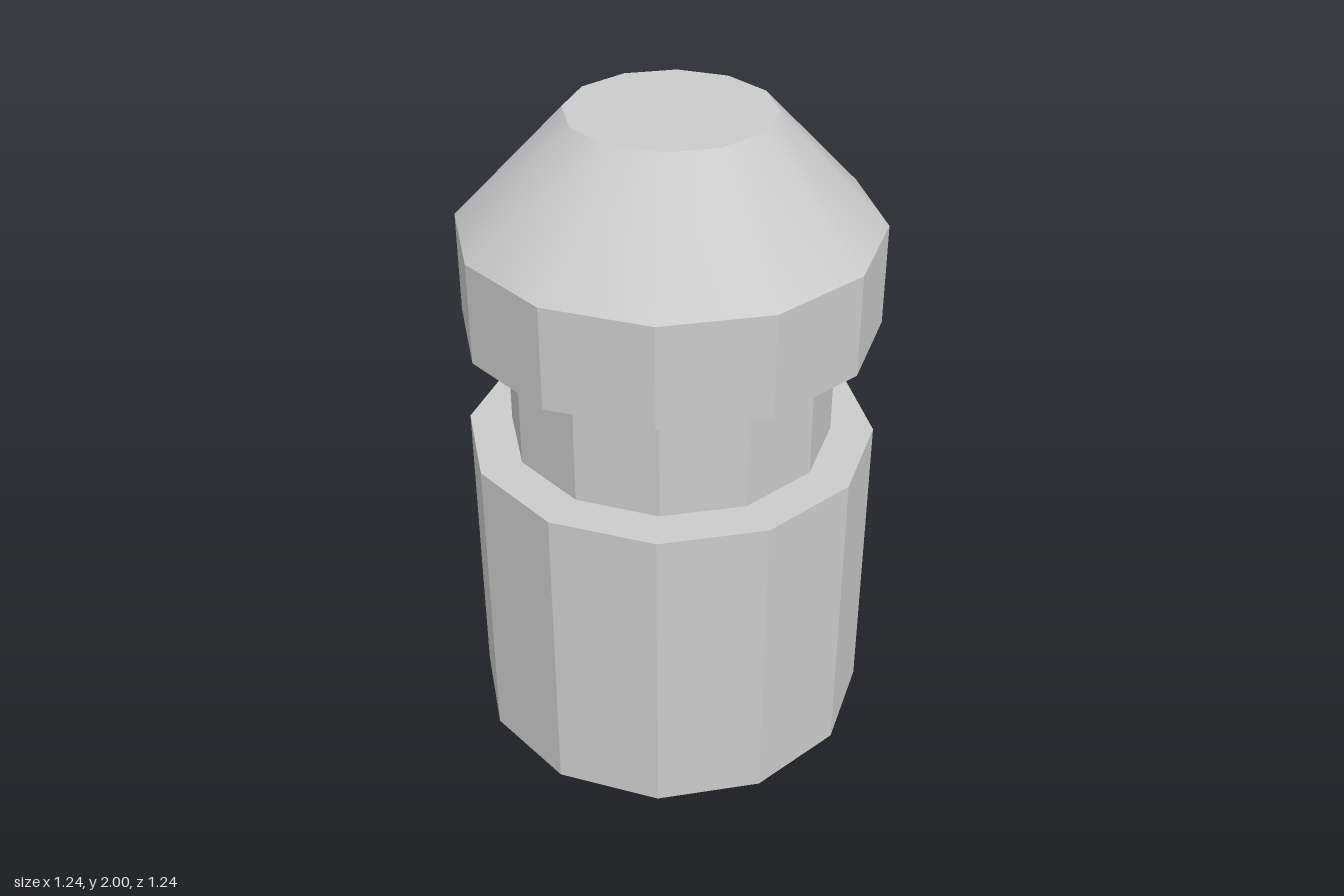
import * as THREE from 'three';

const SIDES = 12;

// Twelve-sided section standing between two heights, with a corner on each axis
function addSection(group, name, bottomRadius, topRadius, y0, y1, { smooth = false, open = false } = {}) {
  const geometry = new THREE.CylinderGeometry(topRadius, bottomRadius, y1 - y0, SIDES, 1, open);
  geometry.translate(0, (y0 + y1) / 2, 0);
  const material = new THREE.MeshStandardMaterial({ color: 0xcccccc, flatShading: !smooth });
  const mesh = new THREE.Mesh(geometry, material);
  mesh.name = name;
  group.add(mesh);
}

export function createModel() {
  const group = new THREE.Group();
  group.name = 'groovedPin';

  // Faceted shaft, recessed neck and collar
  addSection(group, 'shaft', 0.62, 0.62, 0, 0.98);
  addSection(group, 'neck', 0.49, 0.49, 0.98, 1.355, { open: true });
  addSection(group, 'collar', 0.62, 0.62, 1.355, 1.665);

  // Smooth-shaded tapered head with a flat top
  addSection(group, 'taperedHead', 0.62, 0.30, 1.665, 2, { smooth: true });

  return group;
}
